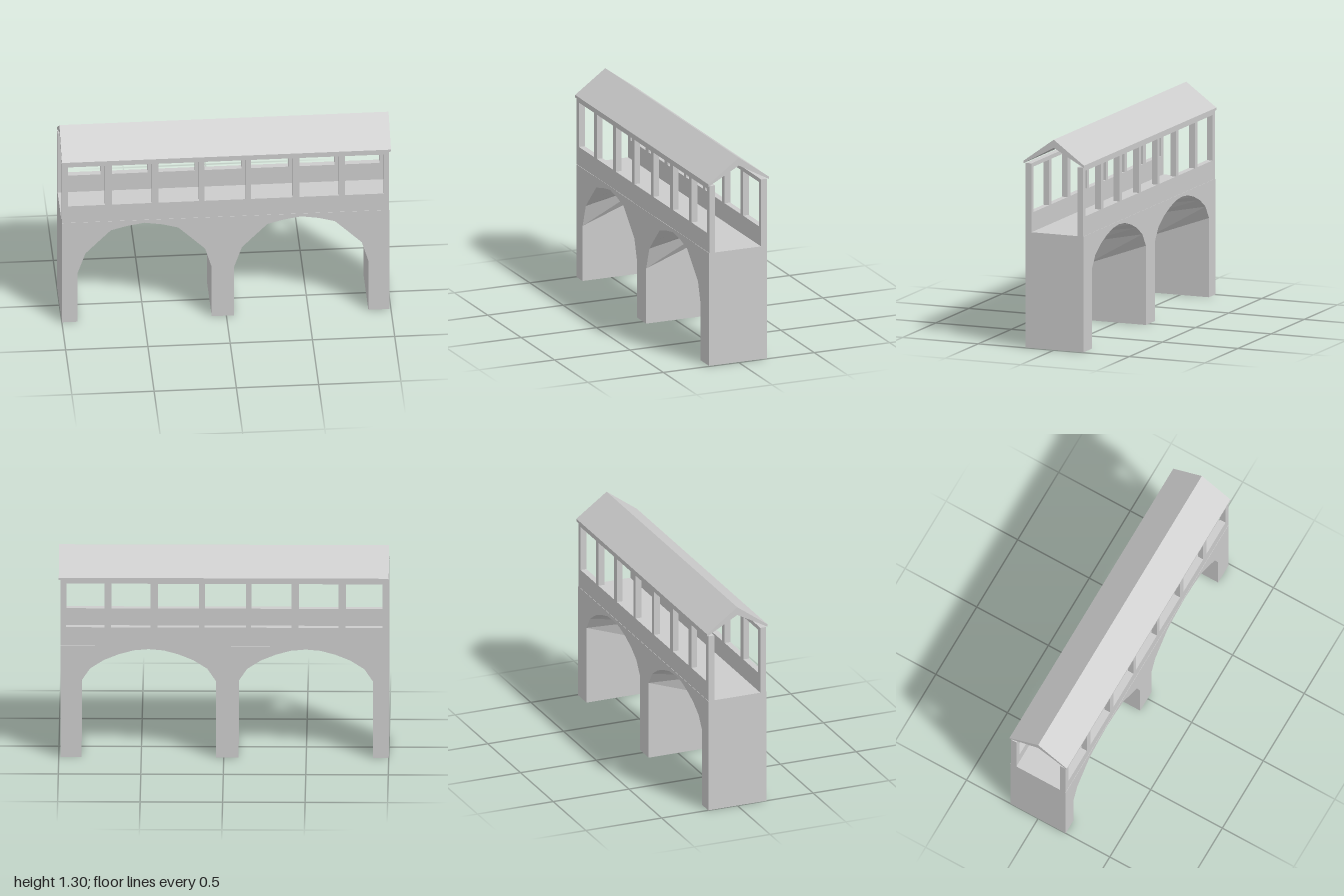
import * as THREE from 'three';

const material = new THREE.MeshStandardMaterial({ color: 0xcccccc, flatShading: true, side: THREE.DoubleSide });
const X0 = -1, X1 = 0.99, DECK = 0.715, HALF = 0.192;
const ARCH_CENTRES = [-0.497, 0.455];

// Arch curves as [offset from the centre, height], from spring to spring
const FRONT_ARCH = [[-0.408, 0.35], [-0.36, 0.49], [-0.293, 0.56], [-0.205, 0.65], [-0.11, 0.676], [0, 0.695],
  [0.107, 0.678], [0.205, 0.65], [0.287, 0.57], [0.368, 0.49], [0.408, 0.355]];
const HALF_ARCH = [[0.408, 0.49], [0.355, 0.57], [0.27, 0.625], [0.18, 0.662], [0.09, 0.687]];
const BACK_ARCH = [...HALF_ARCH.map(([x, y]) => [-x, y]), [0, 0.695], ...[...HALF_ARCH].reverse()];

// Outline of the arched wall, running counter-clockwise along the bottom first
function bridgeOutline(arch) {
  const points = [[X0, 0]];
  for (const centre of ARCH_CENTRES) {
    points.push([centre - 0.408, 0]);
    for (const [x, y] of arch) points.push([centre + x, y]);
    points.push([centre + 0.408, 0]);
  }
  points.push([X1, 0], [X1, DECK], [X0, DECK]);
  return points.map(([x, y]) => new THREE.Vector2(x, y));
}

// Solid between the front outline and the slightly different back outline
function bridgeGeometry() {
  const front = bridgeOutline(FRONT_ARCH), back = bridgeOutline(BACK_ARCH);
  const positions = [];
  const add = (p, z) => positions.push(p.x, p.y, z);
  for (const [a, b, c] of THREE.ShapeUtils.triangulateShape(front, [])) {
    for (const i of [a, b, c]) add(front[i], HALF);
  }
  for (const [a, b, c] of THREE.ShapeUtils.triangulateShape(back, [])) {
    for (const i of [c, b, a]) add(back[i], -HALF);
  }
  front.forEach((p, i) => {
    const j = (i + 1) % front.length;
    add(p, HALF); add(back[i], -HALF); add(back[j], -HALF);
    add(p, HALF); add(back[j], -HALF); add(front[j], HALF);
  });
  const geometry = new THREE.BufferGeometry();
  geometry.setAttribute('position', new THREE.Float32BufferAttribute(positions, 3));
  geometry.computeVertexNormals();
  return geometry;
}

function rectangle(PathType, x0, x1, y0, y1) {
  return new PathType([[x0, y0], [x1, y0], [x1, y1], [x0, y1]].map(([x, y]) => new THREE.Vector2(x, y)));
}

export function createModel() {
  const group = new THREE.Group();
  const addPart = (name, geometry) => {
    const mesh = new THREE.Mesh(geometry, material);
    mesh.name = name;
    group.add(mesh);
    return mesh;
  };

  // Two-arched bridge with its deck
  addPart('archedBridge', bridgeGeometry());

  // Side walls with seven openings each
  const openings = [[-0.963, -0.738], [-0.695, -0.453], [-0.412, -0.166], [-0.134, 0.118],
    [0.15, 0.402], [0.444, 0.684], [0.722, 0.957]];
  const wall = rectangle(THREE.Shape, X0, X1, DECK, 1.14);
  for (const [x0, x1] of openings) wall.holes.push(rectangle(THREE.Path, x0, x1, 0.834, 1.115));
  const wallGeometry = new THREE.ExtrudeGeometry(wall, { depth: 0.038, bevelEnabled: false });
  addPart('frontWall', wallGeometry).position.z = HALF - 0.04;
  addPart('backWall', wallGeometry).position.z = -HALF + 0.002;

  // Gabled roof, thicker at the ridge than at the eaves
  const gable = new THREE.Shape([[-0.2, 1.14], [0, 1.25], [0.2, 1.14], [0.2, 1.155], [0, 1.3], [-0.2, 1.155]]
    .map(([z, y]) => new THREE.Vector2(z, y)));
  const roof = addPart('roof', new THREE.ExtrudeGeometry(gable, { depth: 2, bevelEnabled: false }));
  roof.rotation.y = Math.PI / 2;
  roof.position.x = -1;

  return group;
}
